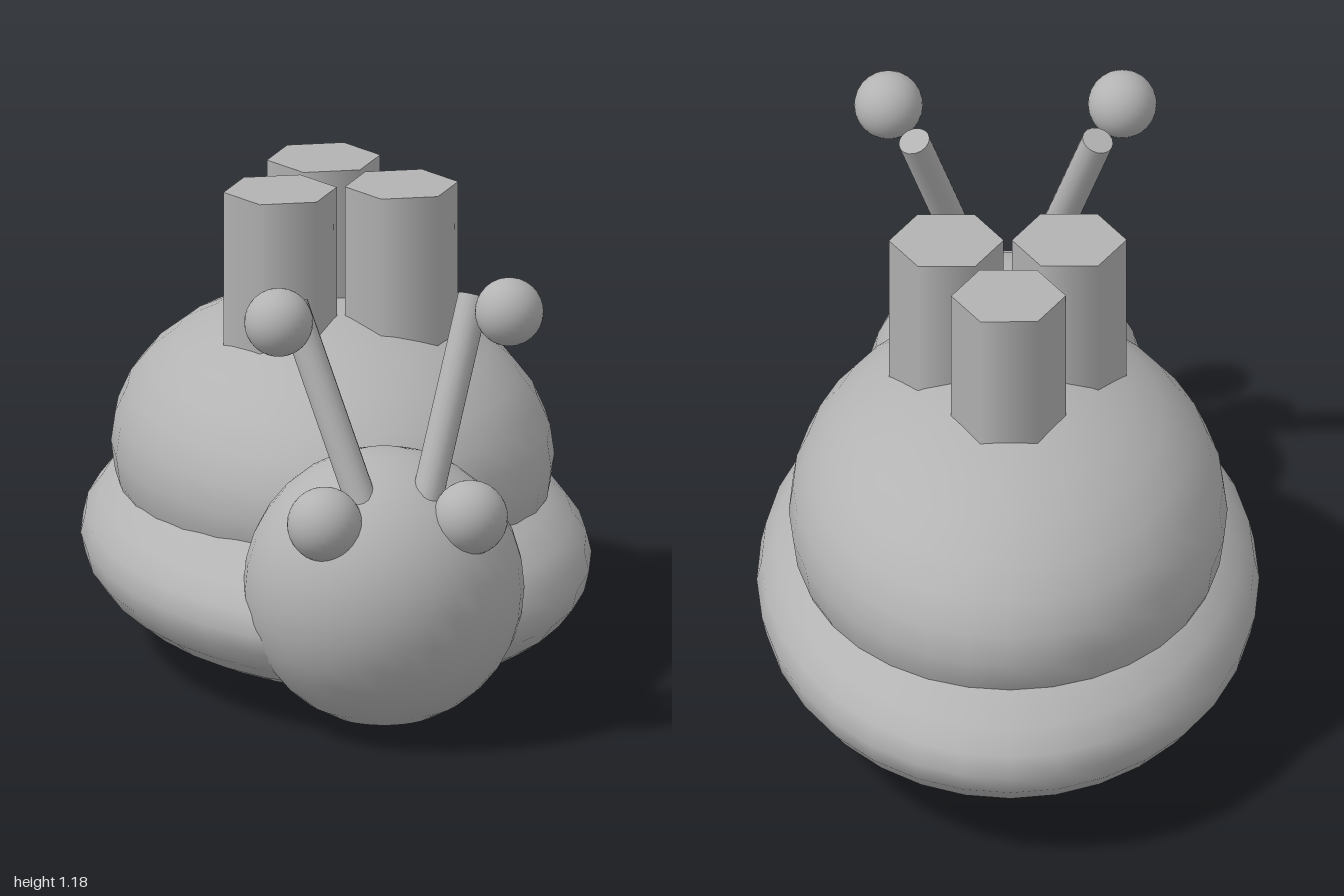
import * as THREE from 'three';

export function createModel() {
  const model = new THREE.Group();
  model.name = 'snail';
  const grey = new THREE.MeshStandardMaterial({ color: 0xb3b3b3 });
  grey.name = 'plain grey';

  const add = (name, geometry, x, y, z) => {
    const mesh = new THREE.Mesh(geometry, grey);
    mesh.name = name;
    mesh.position.set(x, y, z);
    model.add(mesh);
    return mesh;
  };

  // Ellipsoid given by its half sizes
  const ellipsoid = (name, [rx, ry, rz], [x, y, z]) =>
    add(name, new THREE.SphereGeometry(1, 32, 16).scale(rx, ry, rz), x, y, z);

  // Round rod between two points
  const rod = (name, from, to, radius) => {
    const a = new THREE.Vector3(...from);
    const b = new THREE.Vector3(...to);
    const mid = a.clone().lerp(b, 0.5);
    const mesh = add(name, new THREE.CylinderGeometry(radius, radius, a.distanceTo(b), 16), mid.x, mid.y, mid.z);
    mesh.quaternion.setFromUnitVectors(new THREE.Vector3(0, 1, 0), b.sub(a).normalize());
  };

  // Flattened body, domed shell and round head
  ellipsoid('body', [0.613, 0.261, 0.937], [0, 0.264, -0.063]);
  ellipsoid('shell', [0.535, 0.375, 0.732], [0, 0.49, -0.113]);
  ellipsoid('head', [0.343, 0.343, 0.343], [0, 0.36, 0.657]);

  // Eyes, feelers and the floating balls in front of their tips
  for (const [side, s] of [['left', 1], ['right', -1]]) {
    ellipsoid(side + 'Eye', [0.092, 0.092, 0.092], [s * 0.18, 0.583, 0.862]);
    rod(side + 'Feeler', [s * 0.062, 0.56, 0.835], [s * 0.224, 1.082, 0.645], 0.039);
    ellipsoid(side + 'FeelerBall', [0.084, 0.084, 0.084], [s * 0.285, 1.086, 0.809]);
  }

  // Three hexagonal chimneys rising out of the shell
  const bottom = 0.6, top = 1.186;
  const hexagon = new THREE.CylinderGeometry(0.14, 0.14, top - bottom, 6).rotateY(Math.PI / 6);
  for (const [name, x, z] of [['leftChimney', 0.15, 0.01], ['rightChimney', -0.15, 0.01], ['rearChimney', 0, -0.25]]) {
    add(name, hexagon, x, (bottom + top) / 2, z);
  }

  return model;
}
